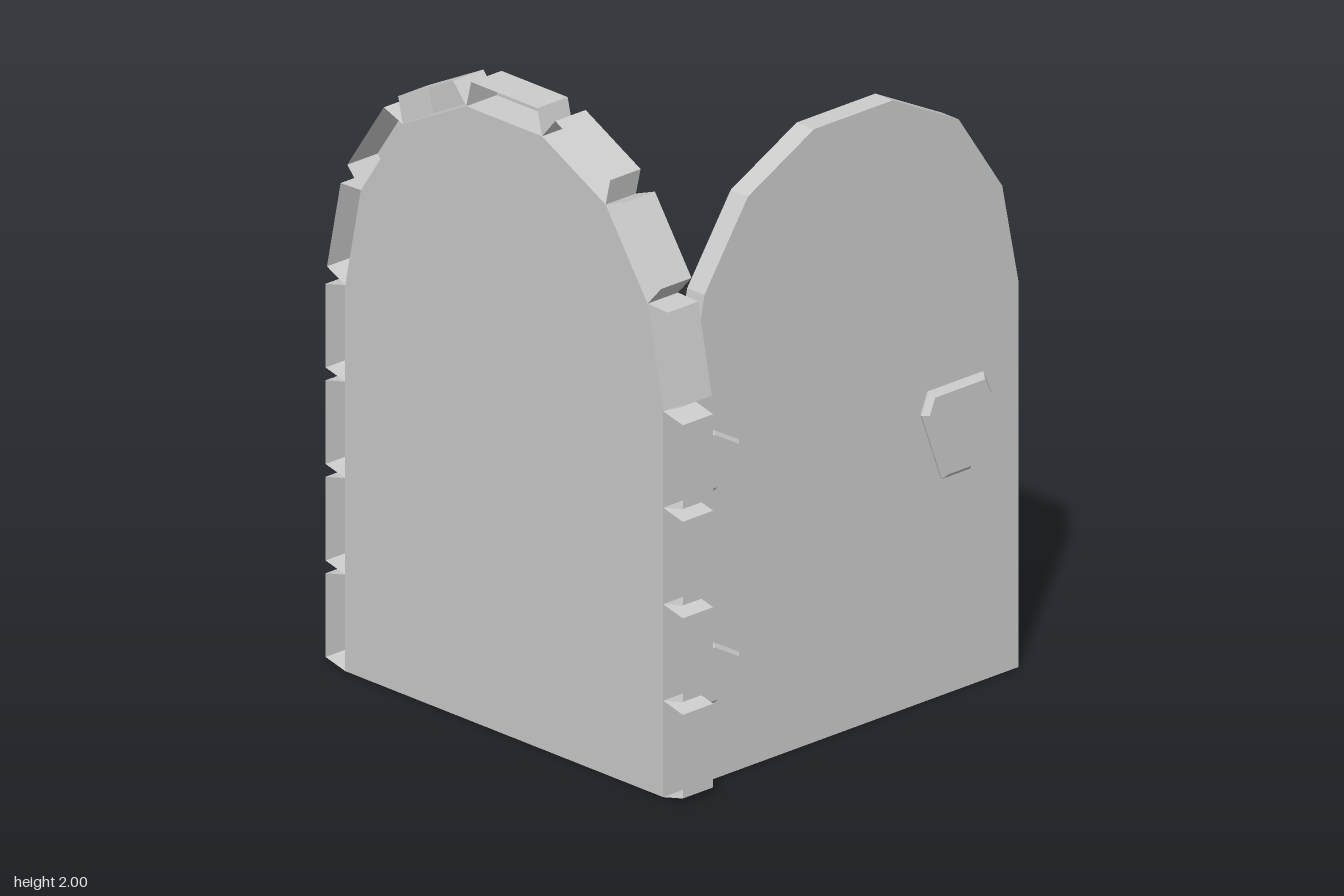
import * as THREE from 'three';

const GREY = { color: 0xcccccc, flatShading: true };
const solid = new THREE.MeshStandardMaterial(GREY);
const thin = new THREE.MeshStandardMaterial({ ...GREY, side: THREE.DoubleSide });
const TURN = 0.197;    // yaw of the doorway
const DEPTH = 0.122;   // depth of the stones
const STONE = 0.082;   // width of the stones
const TAPER = 0.02;    // narrowing of each stone towards the outside

// Right half of the arch, bottom to top
const half = [[0.663, 0], [0.663, 0.302], [0.663, 0.604], [0.663, 0.906], [0.663, 1.208],
  [0.598, 1.525], [0.423, 1.783], [0.158, 1.918]].map(([x, y]) => new THREE.Vector2(x, y));
const arch = [...half, ...half.map(p => new THREE.Vector2(-p.x, p.y)).reverse()];

function add(parent, name, geometry, material) {
  const mesh = new THREE.Mesh(geometry, material);
  mesh.name = name;
  parent.add(mesh);
  return mesh;
}

// Tapered block standing on the edge a-b of the arch, open at the front
function stoneGeometry(a, b) {
  const along = b.clone().sub(a).normalize();
  const out = new THREE.Vector2(along.y, -along.x).multiplyScalar(STONE);
  const c = b.clone().add(out).addScaledVector(along, -TAPER);
  const d = a.clone().add(out).addScaledVector(along, TAPER);
  const ring = [a, d, c, b];
  const z = DEPTH / 2;
  const pos = [];
  const index = [1, 0, 2, 2, 0, 3].map(i => i * 2); // back face
  ring.forEach((p, i) => {
    pos.push(p.x, p.y, -z, p.x, p.y, z);
    const j = (i + 1) % 4;
    index.push(i * 2, j * 2, j * 2 + 1, i * 2, j * 2 + 1, i * 2 + 1);
  });
  const g = new THREE.BufferGeometry();
  g.setAttribute('position', new THREE.Float32BufferAttribute(pos, 3));
  g.setIndex(index);
  const flat = g.toNonIndexed();
  flat.computeVertexNormals();
  return flat;
}

// Flat fitting with a bevelled rim, sunk a little into the door
function fitting(points, height, bevel) {
  const g = new THREE.ExtrudeGeometry(new THREE.Shape(points.map(p => new THREE.Vector2(...p))), {
    depth: height, bevelEnabled: true, bevelSegments: 1,
    bevelThickness: bevel, bevelSize: bevel, bevelOffset: -bevel,
  });
  return g.translate(0, 0, -bevel);
}

export function createModel() {
  const model = new THREE.Group();
  model.name = 'archedDoorway';

  // Doorway: thin panel at the front edge of a ring of stones
  const doorway = new THREE.Group();
  doorway.name = 'doorway';
  doorway.position.set(-0.0975, 0, 0.505);
  doorway.rotation.y = -TURN;
  model.add(doorway);
  add(doorway, 'openingPanel', new THREE.ShapeGeometry(new THREE.Shape(arch)), thin).position.z = DEPTH / 2;
  for (let i = 0; i < arch.length - 1; i++) {
    add(doorway, 'frameStone', stoneGeometry(arch[i], arch[i + 1]), thin);
  }

  // Door: same arch, swung open at a right angle
  const door = new THREE.Group();
  door.name = 'door';
  door.position.set(0.6565, 0, -0.059);
  door.rotation.y = Math.PI / 2 - TURN;
  model.add(door);
  const thick = 0.072;
  const leaf = new THREE.ExtrudeGeometry(new THREE.Shape(arch), { depth: thick, bevelEnabled: false });
  add(door, 'doorLeaf', leaf.translate(0, 0, -thick / 2), solid);

  // Hinges on the outer face
  const hinge = [[-0.65, -0.095], [-0.555, -0.095], [-0.461, -0.03], [-0.461, 0.035], [-0.565, 0.095], [-0.65, 0.095]];
  for (const y of [0.335, 1.0]) {
    add(door, 'hinge', fitting(hinge, 0.014, 0.012), solid).position.set(0, y, thick / 2);
  }

  // Handle plate on the outer face
  const handle = [[0.35, 0.68], [0.463, 0.68], [0.55, 0.9], [0.518, 0.967], [0.297, 0.967], [0.269, 0.9]];
  add(door, 'handle', fitting(handle, 0.022, 0.016), solid).position.z = thick / 2;

  return model;
}
